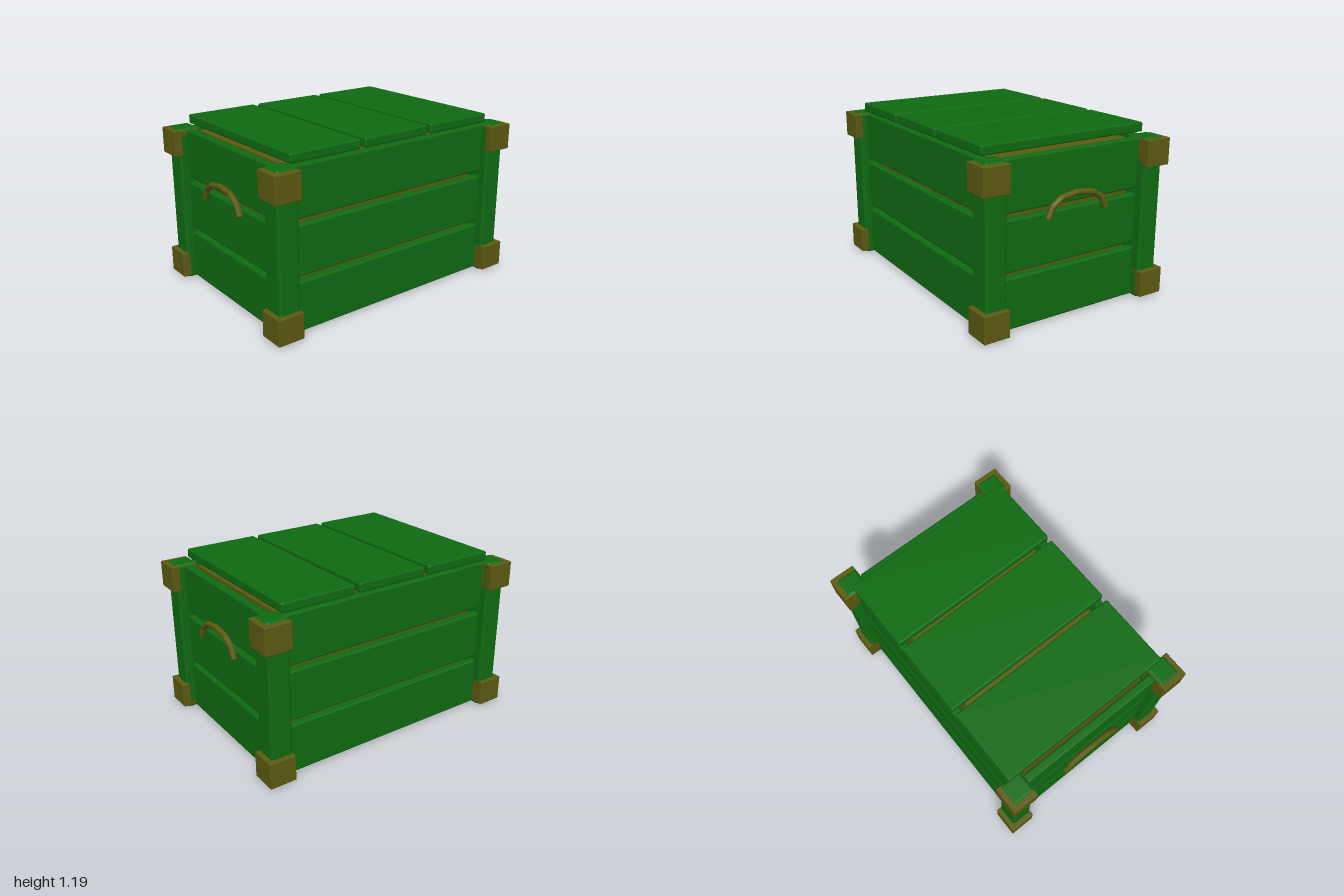
import * as THREE from 'three';
import { RoundedBoxGeometry } from 'three/addons/geometries/RoundedBoxGeometry.js';

const green = new THREE.MeshStandardMaterial({ color: 0x0f6a12 });
const brown = new THREE.MeshStandardMaterial({ color: 0x5c5a12 });

export function createModel() {
  const crate = new THREE.Group();
  crate.name = 'crate';

  // Box given by its minimum and maximum corners, with softened edges
  function block(name, min, max, radius, material = green) {
    const [w, h, d] = max.map((v, i) => v - min[i]);
    const geometry = radius
      ? new RoundedBoxGeometry(w, h, d, 2, radius)
      : new THREE.BoxGeometry(w, h, d);
    const mesh = new THREE.Mesh(geometry, material);
    mesh.name = name;
    mesh.position.set(...min.map((v, i) => (v + max[i]) / 2));
    crate.add(mesh);
    return mesh;
  }

  // Inner box seen through the gaps between the planks
  block('innerBox', [-0.81, 0.03, -0.525], [0.81, 1.09, 0.525], 0, brown);
  block('innerFloor', [-0.81, 0.025, -0.525], [0.81, 0.035, 0.525], 0);

  // Three rows of wall planks on all four sides
  for (const [y0, y1] of [[0.01, 0.355], [0.39, 0.732], [0.77, 1.11]]) {
    for (const s of [-1, 1]) {
      const front = block('longWallPlank', [-0.815, y0, 0.57], [0.815, y1, 0.63], 0.014);
      front.position.z *= s;
      const side = block('shortWallPlank', [0.85, y0, -0.53], [0.91, y1, 0.53], 0.014);
      side.position.x *= s;
    }
  }

  // Lid planks
  for (const x of [-0.568, 0, 0.566]) {
    block('lidPlank', [x - 0.266, 1.125, -0.63], [x + 0.266, 1.19, 0.63], 0.012);
  }

  // Corner posts with a bracket at the bottom and the top
  for (const sx of [-1, 1]) {
    for (const sz of [-1, 1]) {
      const parts = [
        block('cornerPost', [0.812, 0, 0.53], [0.967, 1.118, 0.684], 0.022),
        block('lowerBracket', [0.812, 0.015, 0.53], [1, 0.198, 0.716], 0.006, brown),
        block('upperBracket', [0.812, 0.925, 0.53], [1, 1.108, 0.716], 0.006, brown),
      ];
      for (const part of parts) {
        part.position.x *= sx;
        part.position.z *= sz;
      }
    }
  }

  // Arched handles on the short sides, made of straight segments
  const arch = [[-0.225, 0.705], [-0.19, 0.78], [-0.12, 0.825], [0, 0.842],
    [0.12, 0.825], [0.19, 0.78], [0.225, 0.705]];
  for (const s of [-1, 1]) {
    const path = new THREE.CurvePath();
    const points = arch.map(([z, y]) => new THREE.Vector3(s * 0.95, y, z));
    for (let i = 1; i < points.length; i++) {
      path.add(new THREE.LineCurve3(points[i - 1], points[i]));
    }
    const handle = new THREE.Group();
    handle.name = 'handle';
    const bar = new THREE.Mesh(new THREE.TubeGeometry(path, 24, 0.021, 8), brown);
    bar.name = 'handleBar';
    handle.add(bar);
    // Flat caps at both ends of the bar
    for (const [end, next] of [[points[0], points[1]], [points[6], points[5]]]) {
      const cap = new THREE.Mesh(new THREE.CircleGeometry(0.021, 8), brown);
      cap.name = 'handleEnd';
      cap.position.copy(end);
      cap.lookAt(end.clone().multiplyScalar(2).sub(next));
      handle.add(cap);
    }
    crate.add(handle);
  }

  return crate;
}
